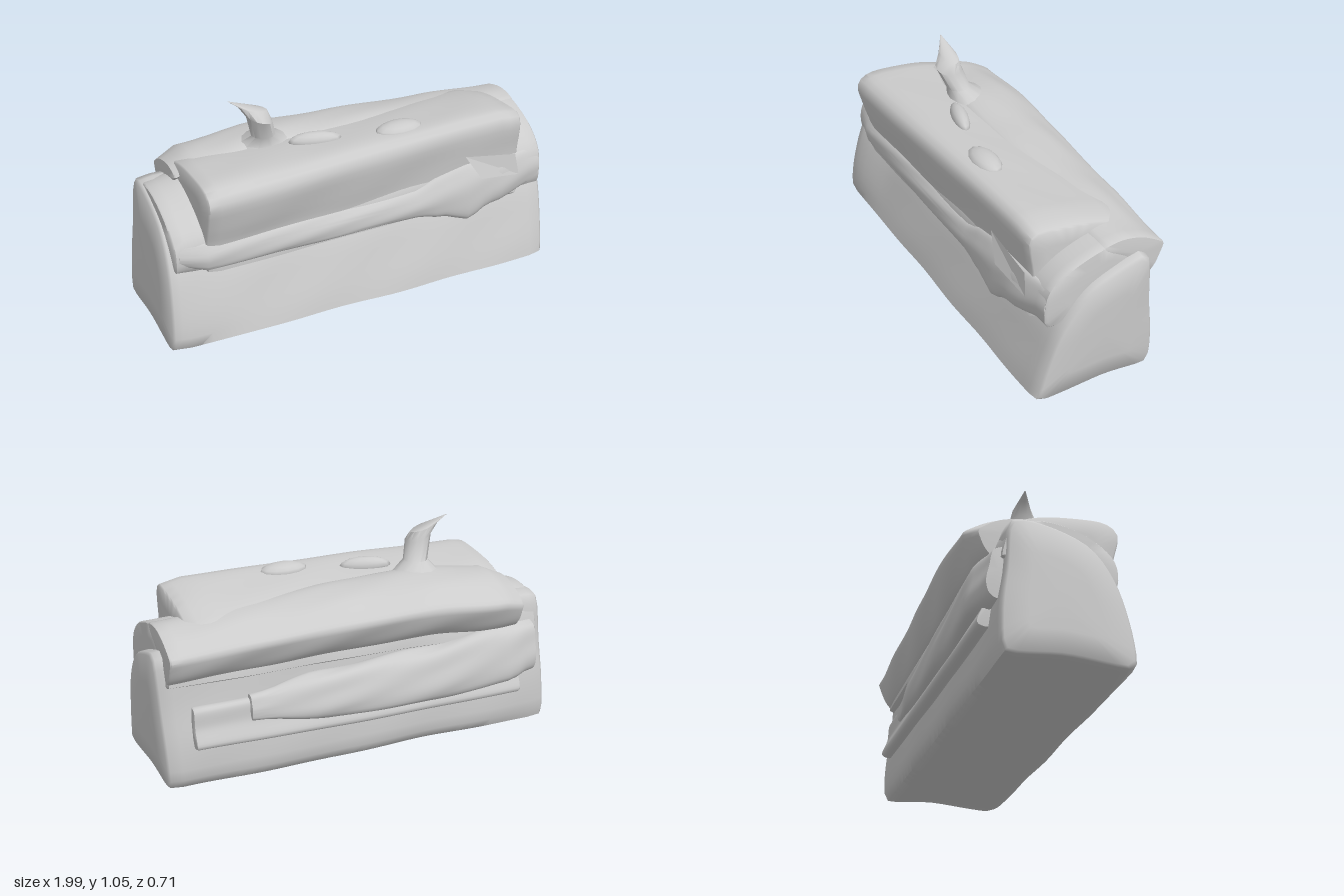
import * as THREE from 'three';
import { toCreasedNormals } from 'three/addons/utils/BufferGeometryUtils.js';

const material = new THREE.MeshStandardMaterial({ color: 0xcccccc, side: THREE.DoubleSide });

// Closed [z, y] outline as evenly spaced points, always wound the same way
function outline(profile, sides) {
  const pts = profile.map(([z, y]) => new THREE.Vector3(z, y, 0));
  if (THREE.ShapeUtils.area(pts) > 0) pts.reverse();
  return new THREE.CatmullRomCurve3(pts, true, 'centripetal').getSpacedPoints(sides).slice(0, sides);
}

// Outline swept along x, blending from rightProfile (x = -1) to profile (x = blendEnd).
// Stations: [x, scale, dy, dz, scaleY?]
function loft(name, profile, stations, { rightProfile = profile, blendEnd = 1, lump = 0.008, shear = 0, seed = 0, dome = 0.012, crease = 0.8 } = {}) {
  const sides = 44;
  const ring = outline(profile, sides), rightRing = outline(rightProfile, sides);
  const c = ring.reduce((a, p) => a.add(p), new THREE.Vector3()).divideScalar(sides);

  // Ease between stations, then close both ends with shrinking rings
  const rows = [];
  stations.forEach((s, i) => {
    const next = stations[i + 1];
    if (!next) return rows.push(s);
    const steps = Math.max(1, Math.ceil((next[0] - s[0]) / 0.06));
    for (let k = 0; k < steps; k++) {
      const t = k / steps, e = t * t * (3 - 2 * t);
      rows.push([0, 1, 2, 3, 4].map(j => {
        const a = s[j] ?? s[1], b = next[j] ?? next[1];
        return a + (b - a) * (j ? e : t);
      }));
    }
  });
  const cap = (r, k, dx) => [r[0] + dx, r[1] * k, r[2], r[3], (r[4] ?? r[1]) * k];
  const a = rows[0], b = rows[rows.length - 1];
  rows.unshift(cap(a, 0, -dome), cap(a, 0.55, -dome * 0.95), cap(a, 0.96, -dome * 0.6));
  rows.push(cap(b, 0.96, dome * 0.6), cap(b, 0.55, dome * 0.95), cap(b, 0, dome));

  const pos = [], idx = [], p = new THREE.Vector3();
  rows.forEach(([x, s, dy, dz, sy = s]) => ring.forEach((q, j) => {
    p.lerpVectors(rightRing[j], q, THREE.MathUtils.smoothstep(x, -1, blendEnd));
    const ang = (j / sides) * Math.PI * 2;
    const w = 1 + lump * 4 * Math.sin(x * 7 + seed + ang * 2) * Math.sin(x * 4.3 + ang * 3 + seed * 2);
    const y = c.y + (p.y - c.y) * sy * w + dy;
    pos.push(x + shear * (y - 0.33), Math.max(y, 0), c.x + (p.x - c.x) * s * w + dz);
  }));
  for (let i = 0; i < rows.length - 1; i++) {
    for (let j = 0; j < sides; j++) {
      const m = i * sides + j, n = i * sides + (j + 1) % sides;
      idx.push(m, n, m + sides, n, n + sides, m + sides);
    }
  }
  const geo = new THREE.BufferGeometry();
  geo.setAttribute('position', new THREE.Float32BufferAttribute(pos, 3));
  geo.setIndex(idx);
  const mesh = new THREE.Mesh(toCreasedNormals(geo, crease), material);
  mesh.name = name;
  return mesh;
}

// Half-buried fold on the top
function topFold(x, y, z, rx, ry, rz, turn) {
  const mesh = new THREE.Mesh(new THREE.SphereGeometry(1, 12, 8), material);
  mesh.name = 'topFold';
  mesh.scale.set(rx, ry, rz);
  mesh.position.set(x, y, z);
  mesh.rotation.y = turn;
  return mesh;
}

export function createModel() {
  const g = new THREE.Group();

  // Sloped block that everything rests on, fuller at its right end
  g.add(loft('body', [
    [0.335, 0.012], [0.335, 0.03], [0.29, 0.2], [0.22, 0.4], [0.1, 0.55], [-0.03, 0.62], [-0.19, 0.665],
    [-0.205, 0.65], [-0.235, 0.4], [-0.262, 0.2], [-0.262, 0.03], [-0.25, 0.012], [0, 0.025],
  ], [[-0.97, 0.98, 0, 0], [-0.9, 1, 0, 0], [-0.3, 0.99, 0.005, 0], [0.3, 1, 0, 0], [0.9, 1, 0, 0], [0.96, 0.98, 0, 0]],
  { lump: 0.003, shear: 0.055, dome: 0.02, crease: 1.1, blendEnd: -0.6, rightProfile: [
    [0.325, 0.012], [0.335, 0.03], [0.325, 0.2], [0.26, 0.42], [0.16, 0.57], [0.03, 0.635], [-0.17, 0.665],
    [-0.205, 0.65], [-0.235, 0.4], [-0.262, 0.2], [-0.262, 0.03], [-0.25, 0.012], [0, 0.025],
  ] }));

  // Middle cover arched over the body
  g.add(loft('middleCover', [
    [0.27, 0.4], [0.29, 0.42], [0.295, 0.5], [0.275, 0.58], [0.2, 0.66], [0.1, 0.71], [-0.03, 0.74], [-0.12, 0.73],
    [-0.2, 0.68], [-0.24, 0.58], [-0.25, 0.5], [-0.2, 0.5], [0, 0.52], [0.18, 0.42],
  ], [[-0.94, 0.95, -0.04, 0, 0.84], [-0.8, 1, -0.03, 0, 0.9], [0, 1, 0, 0], [0.8, 1, 0, 0], [0.93, 0.98, 0, 0]],
  { lump: 0.004 }));

  // Turned-up hem along the front, swelling to a knot on the left
  g.add(loft('frontHem', [
    [0.27, 0.385], [0.31, 0.39], [0.325, 0.43], [0.315, 0.49], [0.28, 0.53], [0.23, 0.5], [0.23, 0.42],
  ], [[-0.92, 0.8, 0.03, -0.03], [-0.8, 1, 0.01, -0.01], [-0.1, 0.95, 0.01, 0], [0.25, 1, 0.01, 0],
    [0.4, 1.15, 0.015, 0, 1.5], [0.52, 1.25, 0, 0, 2.05], [0.65, 1.1, 0.025, 0, 1.65], [0.92, 0.9, 0.05, -0.03, 1.2]],
  { lump: 0.012 }));

  // Upper cover, overhanging at its right end and upright at its left end
  g.add(loft('upperCover', [
    [0.27, 0.37], [0.29, 0.38], [0.275, 0.5], [0.28, 0.63], [0.295, 0.75], [0.293, 0.8], [0.27, 0.828],
    [0.08, 0.815], [-0.1, 0.775], [-0.19, 0.73], [-0.14, 0.65], [0.15, 0.5],
  ], [[-0.795, 0.97, -0.01, 0], [-0.74, 1, -0.01, 0], [-0.2, 1, 0, 0], [0.3, 0.99, 0.005, 0], [0.7, 1, 0.005, 0], [0.8, 0.97, -0.01, 0]],
  { lump: 0.003, seed: 2, rightProfile: [
    [0.27, 0.37], [0.3, 0.38], [0.295, 0.5], [0.335, 0.63], [0.36, 0.75], [0.345, 0.785], [0.29, 0.815],
    [0.1, 0.81], [-0.08, 0.775], [-0.16, 0.73], [-0.12, 0.65], [0.15, 0.5],
  ] }));

  // Mantle sloping down over the back
  g.add(loft('backMantle', [
    [0.02, 0.77], [-0.05, 0.795], [-0.2, 0.775], [-0.29, 0.727], [-0.337, 0.69], [-0.33, 0.655], [-0.285, 0.57],
    [-0.25, 0.54], [-0.2, 0.56], [-0.1, 0.68],
  ], [[-0.82, 0.85, -0.04, 0], [-0.72, 1, -0.01, -0.01], [-0.35, 1.04, 0.02, -0.008], [0, 1, 0.01, 0],
    [0.5, 0.97, -0.01, 0.01], [0.93, 0.9, -0.035, 0.01]], { lump: 0.006, seed: 1 }));

  // Rolled fold and flat hem lower on the back
  g.add(loft('backRoll', [
    [-0.22, 0.47], [-0.3, 0.46], [-0.335, 0.38], [-0.35, 0.3], [-0.335, 0.25], [-0.27, 0.24], [-0.22, 0.3],
  ], [[-0.91, 0.75, 0.06, 0.03, 1.05], [-0.75, 0.95, 0.05, 0, 1.15], [-0.3, 1, 0.01, 0, 1.05], [0.2, 0.9, 0, 0], [0.55, 0.5, 0, 0.01]],
  { lump: 0.015, seed: 3 }));
  g.add(loft('backHem', [
    [-0.22, 0.4], [-0.27, 0.4], [-0.285, 0.3], [-0.315, 0.21], [-0.3, 0.195], [-0.25, 0.2],
  ], [[-0.82, 1, 0, 0], [0, 1, 0, 0], [0.82, 0.9, 0, 0]], { lump: 0.004 }));

  // Spout with a flared foot and a tip bent to the right; rings: [x, y, z, rx, rz]
  const rings = [[-0.36, 0.74, -0.08, 0.24, 0.16], [-0.375, 0.8, -0.05, 0.12, 0.1], [-0.395, 0.85, -0.005, 0.058, 0.058],
    [-0.425, 0.95, 0.03, 0.062, 0.063], [-0.45, 1.0, 0.015, 0.07, 0.04], [-0.56, 1.05, 0, 0.002, 0.002]];
  const n = 12, spout = new THREE.CylinderGeometry(1, 1, 1, n, rings.length - 1, true);
  const p = spout.attributes.position;
  for (let i = 0; i < p.count; i++) {
    const [x, y, z, rx, rz] = rings[rings.length - 1 - Math.floor(i / (n + 1))];
    const tilt = y > 0.93 && y < 1.04 ? p.getX(i) * 0.02 : 0;
    p.setXYZ(i, x + p.getX(i) * rx, y - tilt, z + p.getZ(i) * rz);
  }
  const spoutMesh = new THREE.Mesh(toCreasedNormals(spout, 0.9), material);
  spoutMesh.name = 'spout';
  g.add(spoutMesh);

  // Small folds on the top
  g.add(topFold(-0.18, 0.815, 0.1, 0.125, 0.042, 0.04, -0.25));
  g.add(topFold(0.21, 0.82, 0.18, 0.12, 0.04, 0.065, 0));

  // Loose pointed flap at the front left
  const flap = new THREE.BufferGeometry();
  flap.setAttribute('position', new THREE.Float32BufferAttribute(
    [0.5, 0.665, 0.31, 0.58, 0.54, 0.335, 0.8, 0.5, 0.31, 0.5, 0.665, 0.31, 0.8, 0.5, 0.31, 0.78, 0.61, 0.3], 3));
  flap.computeVertexNormals();
  const flapMesh = new THREE.Mesh(flap, material);
  flapMesh.name = 'frontFlap';
  g.add(flapMesh);

  return g;
}
